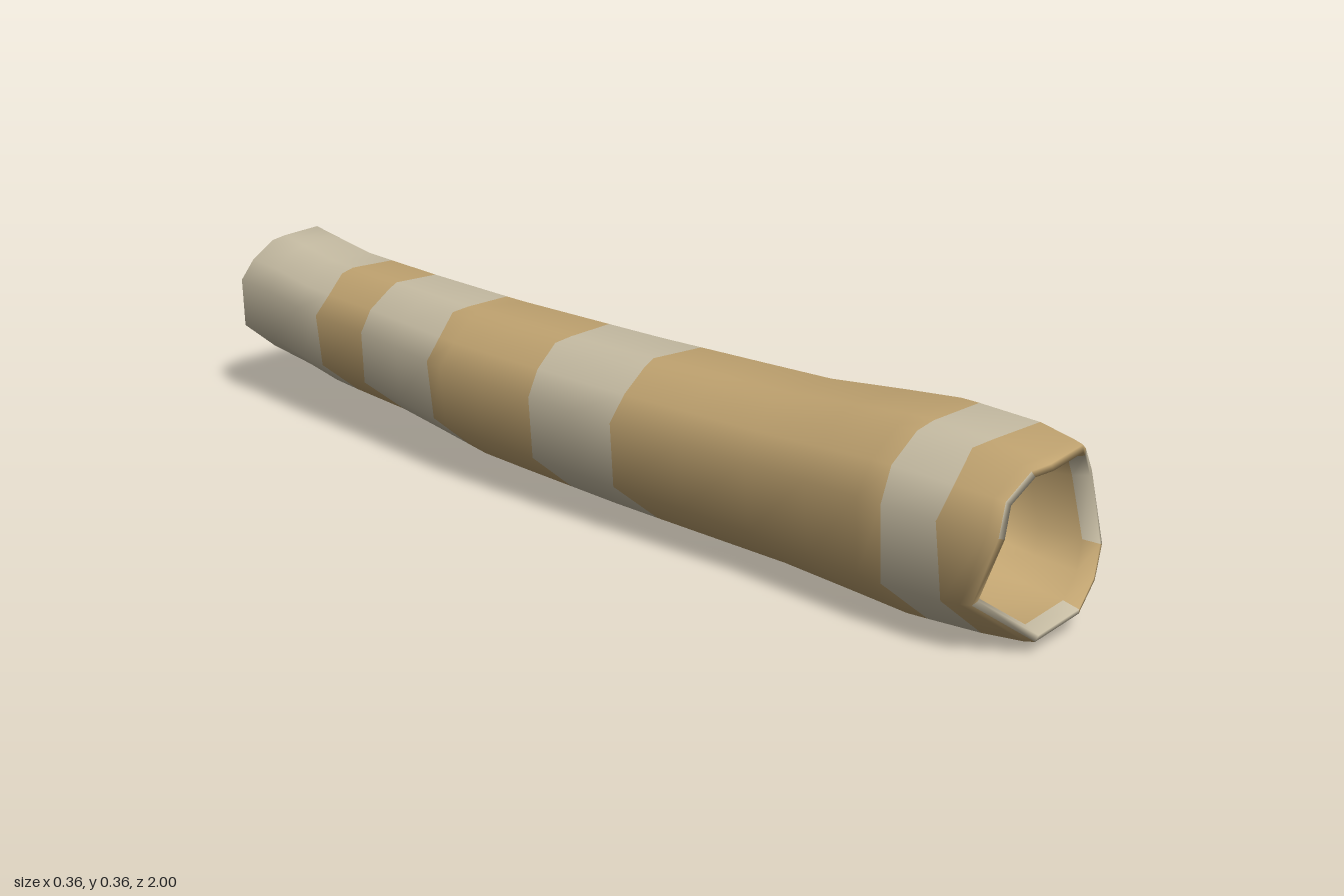
import * as THREE from 'three';

// Cross-section corners in the unit square, clockwise seen from the front
const PROFILE = [[-1, .32], [-.81, .64], [-.53, .92], [-.33, .98], [.33, 1], [.64, .81],
  [.89, .48], [1, -.32], [.78, -.64], [.47, -.92], [-.31, -1], [-.94, -.48]];
const N = PROFILE.length;

// Extents along the log: z, left, right, bottom, top
const EXTENTS = [
  [1.00, -.165, .152, .022, .35], [.95, -.172, .165, .016, .355], [.86, -.18, .18, .008, .362],
  [.72, -.18, .172, 0, .365], [.45, -.16, .145, .013, .338], [.05, -.175, .122, .025, .333],
  [-.30, -.18, .105, .04, .333], [-.55, -.16, .10, .07, .335], [-.77, -.145, .115, .075, .335],
  [-.95, -.13, .13, .098, .355], [-1.0, -.13, .13, .10, .35]];

// Ragged end rims: z of each corner
const FRONT_RIM = [.98, .97, .985, 1, .99, .96, .945, .965, .98, .985, .985, .93];
const BACK_RIM = [-.985, -.975, -.955, -.945, -.945, -.955, -.965, -.985, -.995, -1, -1, -.99];

function extentAt(z) {
  let i = 0;
  while (i < EXTENTS.length - 2 && z < EXTENTS[i + 1][0]) i++;
  const a = EXTENTS[i], b = EXTENTS[i + 1];
  const t = THREE.MathUtils.clamp((a[0] - z) / (a[0] - b[0]), 0, 1);
  return a.map((v, k) => v + (b[k] - v) * t);
}

// One corner of the log surface, drawn in toward the axis by scale
function corner(j, z, scale = 1) {
  const [, l, r, b, t] = extentAt(z);
  const [px, py] = PROFILE[j];
  return [(l + r) / 2 + px * scale * (r - l) / 2, (b + t) / 2 + py * scale * (t - b) / 2, z];
}

export function createModel() {
  const log = new THREE.Group();
  log.name = 'hollowLog';
  const tan = new THREE.MeshStandardMaterial({ color: 0xc0a370 });
  tan.name = 'tan wood';
  const cream = new THREE.MeshStandardMaterial({ color: 0xc6bca3 });
  cream.name = 'pale bark';

  const rings = [], rows = [];
  // Add a ring; part names the strip between it and the ring before
  const add = (part, fn) => {
    rings.push(PROFILE.map((_, j) => fn(j)));
    rows.push(part);
  };
  const rimRing = (part, rim, dir, scale, depth) => add(part, j => {
    const p = corner(j, rim[j], scale);
    p[2] -= dir * depth;
    return p;
  });
  const pole = (part, x, y, z) => add(part, () => [x, y, z]);

  // Front hollow, from its deepest point out to the lip
  pole(null, 0, .2, .76);
  rimRing('frontHollow', FRONT_RIM, 1, .5, .18);
  rimRing('frontHollow', FRONT_RIM, 1, .76, .11);
  rimRing('frontHollow', FRONT_RIM, 1, .84, .03);
  rimRing('frontLip', FRONT_RIM, 1, .9, 0);
  rimRing('frontLip', FRONT_RIM, 1, .97, .004);
  rimRing('frontCollar', FRONT_RIM, 1, 1, .025);

  // Bark skin: slanted rings; a name marks the band that ends at that ring
  const skin = [[.885, 'frontCollar'], [.765, 'barkBand1'], [.72, 'woodBand1'], [.6, 'woodBand1'],
    [.45, 'woodBand1'], [.3, 'woodBand1'], [.145, 'woodBand1'], [.05, 'barkBand2'], [-.07, 'barkBand2'],
    [-.2, 'woodBand2'], [-.3, 'woodBand2'], [-.345, 'woodBand2'], [-.45, 'barkBand3'],
    [-.555, 'barkBand3'], [-.70, 'woodBand3'], [-.77, 'backBark'], [-.87, 'backBark']];
  skin.forEach(([z, part], i) => add(part, j => {
    const wobble = .006 * Math.sin(j * 2.4 + i * 1.7);
    return corner(j, z + .15 * PROFILE[j][0] * .15 + wobble);
  }));

  // Back rim and hollow
  rimRing('backBark', BACK_RIM, -1, 1, 0);
  rimRing('backLip', BACK_RIM, -1, .93, 0);
  rimRing('backLip', BACK_RIM, -1, .86, .02);
  rimRing('backHollow', BACK_RIM, -1, .78, .12);
  rimRing('backHollow', BACK_RIM, -1, .55, .24);
  pole('backHollow', -.02, .21, -.68);

  // Shared surface, so shading runs smoothly across colour borders
  const strips = new Map();
  const all = [];
  const creamLip = [0, 1, 5, 6, 9, 10];
  for (let i = 1; i < rings.length; i++) {
    for (let j = 0; j < N; j++) {
      const k = (j + 1) % N;
      const a = (i - 1) * N + j, b = (i - 1) * N + k, c = i * N + j, d = i * N + k;
      const faces = [a, b, c, b, d, c];
      all.push(...faces);
      let part = rows[i];
      if (part === 'frontLip') part += creamLip.includes(j) ? 'Bark' : 'Wood';
      if (!strips.has(part)) strips.set(part, []);
      strips.get(part).push(...faces);
    }
  }
  const surface = new THREE.BufferGeometry();
  surface.setAttribute('position', new THREE.Float32BufferAttribute(rings.flat(2), 3));
  surface.setIndex(all);
  surface.computeVertexNormals();

  // One mesh per band, lip and hollow
  for (const [part, index] of strips) {
    const g = new THREE.BufferGeometry();
    g.setAttribute('position', surface.getAttribute('position'));
    g.setAttribute('normal', surface.getAttribute('normal'));
    g.setIndex(index);
    const mesh = new THREE.Mesh(g, /bark/i.test(part) ? cream : tan);
    mesh.name = part;
    log.add(mesh);
  }
  return log;
}
